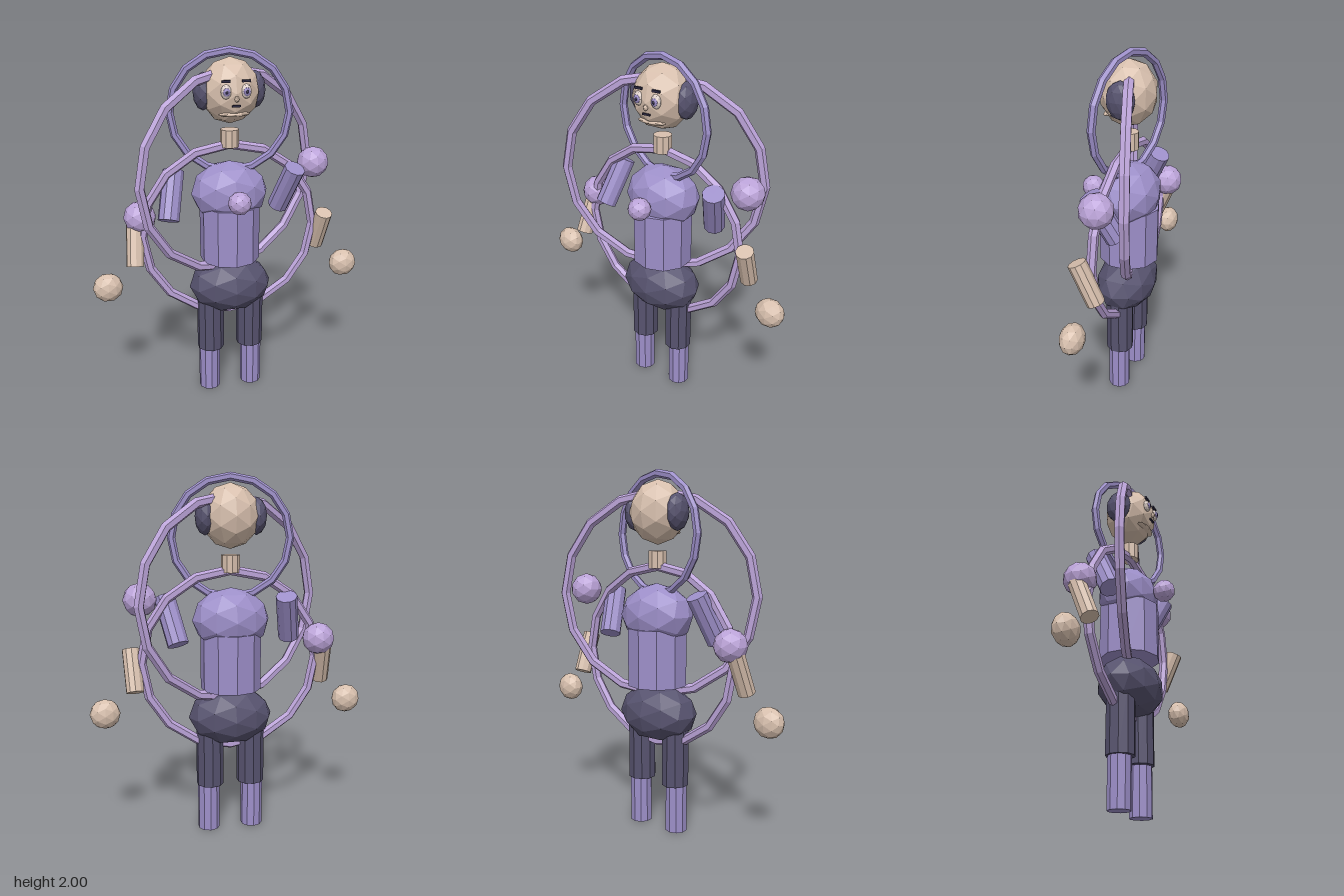
import * as THREE from 'three';

const mat = (name, color) => {
  const m = new THREE.MeshStandardMaterial({ color });
  m.name = name;
  m.flatShading = true;
  return m;
};

export function createModel() {
  const group = new THREE.Group();
  const skin = mat('skin', 0xd8c0ae);
  const lilac = mat('lilac', 0xbba3d8);
  const purple = mat('purple', 0x9d8fc9);
  const dark = mat('dark slate', 0x57536f);
  const white = mat('eye white', 0xe2d3cc);
  const ink = mat('ink', 0x2c2840);

  const add = (name, geo, material, x, y, z) => {
    const mesh = new THREE.Mesh(geo, material);
    mesh.name = name;
    mesh.position.set(x, y, z);
    group.add(mesh);
    return mesh;
  };

  // Faceted ellipsoid
  const ball = (name, m, [x, y, z], [rx, ry, rz], detail = 1) =>
    add(name, new THREE.IcosahedronGeometry(1, detail).scale(rx, ry, rz), m, x, y, z);

  // Faceted cylinder between two points
  const limb = (name, m, top, bottom, r, sides = 10) => {
    const a = new THREE.Vector3(...top), b = new THREE.Vector3(...bottom);
    const mid = a.clone().add(b).multiplyScalar(0.5);
    const mesh = add(name, new THREE.CylinderGeometry(r, r, a.distanceTo(b), sides), m, mid.x, mid.y, mid.z);
    mesh.quaternion.setFromUnitVectors(new THREE.Vector3(0, 1, 0), a.sub(b).normalize());
    return mesh;
  };

  // Upright hoop turned about the vertical axis
  const hoop = (name, m, y, radius, tube, turn) => {
    add(name, new THREE.TorusGeometry(radius, tube, 6, 16), m, 0, y, -0.03).rotation.y = turn;
  };

  // Trunk
  ball('chest', purple, [0, 1.22, -0.035], [0.215, 0.175, 0.165]);
  limb('waist', purple, [0, 1.15, -0.03], [0, 0.83, -0.03], 0.168);
  ball('pelvis', dark, [0, 0.67, -0.022], [0.238, 0.165, 0.167]);
  limb('neck', skin, [0, 1.57, -0.028], [0, 1.475, -0.028], 0.051);

  // Head and ear puffs
  ball('head', skin, [0, 1.774, -0.025], [0.158, 0.173, 0.15]);
  ball('chin', skin, [0, 1.667, 0.07], [0.085, 0.014, 0.03]);
  ball('nose', skin, [0, 1.752, 0.122], [0.012, 0.016, 0.014]);
  add('mouth', new THREE.BoxGeometry(0.045, 0.01, 0.009), ink, 0, 1.716, 0.115);

  for (const s of [-1, 1]) {
    ball('earPuff', dark, [s * 0.14, 1.773, -0.038], [0.055, 0.1, 0.077]);

    // Eyes and brows
    ball('eye', white, [s * 0.053, 1.788, 0.107], [0.028, 0.038, 0.02]);
    ball('iris', purple, [s * 0.053, 1.788, 0.122], [0.019, 0.022, 0.009]);
    ball('pupil', ink, [s * 0.053, 1.788, 0.129], [0.008, 0.01, 0.005]);
    add('brow', new THREE.BoxGeometry(0.045, 0.012, 0.012), ink, s * 0.053, 1.84, 0.108);

    // Legs
    limb('upperLeg', dark, [s * 0.118, 0.62, -0.022], [s * 0.118, 0.27, -0.022], 0.078);
    limb('lowerLeg', purple, [s * 0.127, 0.268, -0.022], [s * 0.127, 0, -0.022], 0.062);

    // Hands
    ball('hand', skin, [s * 0.697, 0.722, -0.018], [0.083, 0.083, 0.064]);
  }

  // Arms swing in opposite directions
  limb('leftUpperArm', purple, [0.355, 1.345, 0.035], [0.3, 1.1, -0.085], 0.059);
  limb('rightUpperArm', purple, [-0.3, 1.345, -0.09], [-0.355, 1.1, 0.03], 0.059);
  limb('leftForearm', skin, [0.545, 1.065, 0.022], [0.535, 0.847, -0.073], 0.049);
  limb('rightForearm', skin, [-0.525, 1.065, -0.073], [-0.545, 0.847, 0.018], 0.049);

  // Floating orbs
  ball('leftOrb', lilac, [0.497, 1.345, -0.067], [0.09, 0.09, 0.09]);
  ball('rightOrb', lilac, [-0.497, 1.1, -0.072], [0.09, 0.09, 0.09]);
  ball('frontOrb', lilac, [0, 1.22, 0.185], [0.063, 0.063, 0.063]);

  // Hoops
  hoop('largeHoop', lilac, 1.33, 0.55, 0.028, 0.35);
  hoop('lowerHoop', lilac, 0.995, 0.493, 0.027, 0);
  hoop('headHoop', purple, 1.66, 0.318, 0.022, -0.225);

  return group;
}
